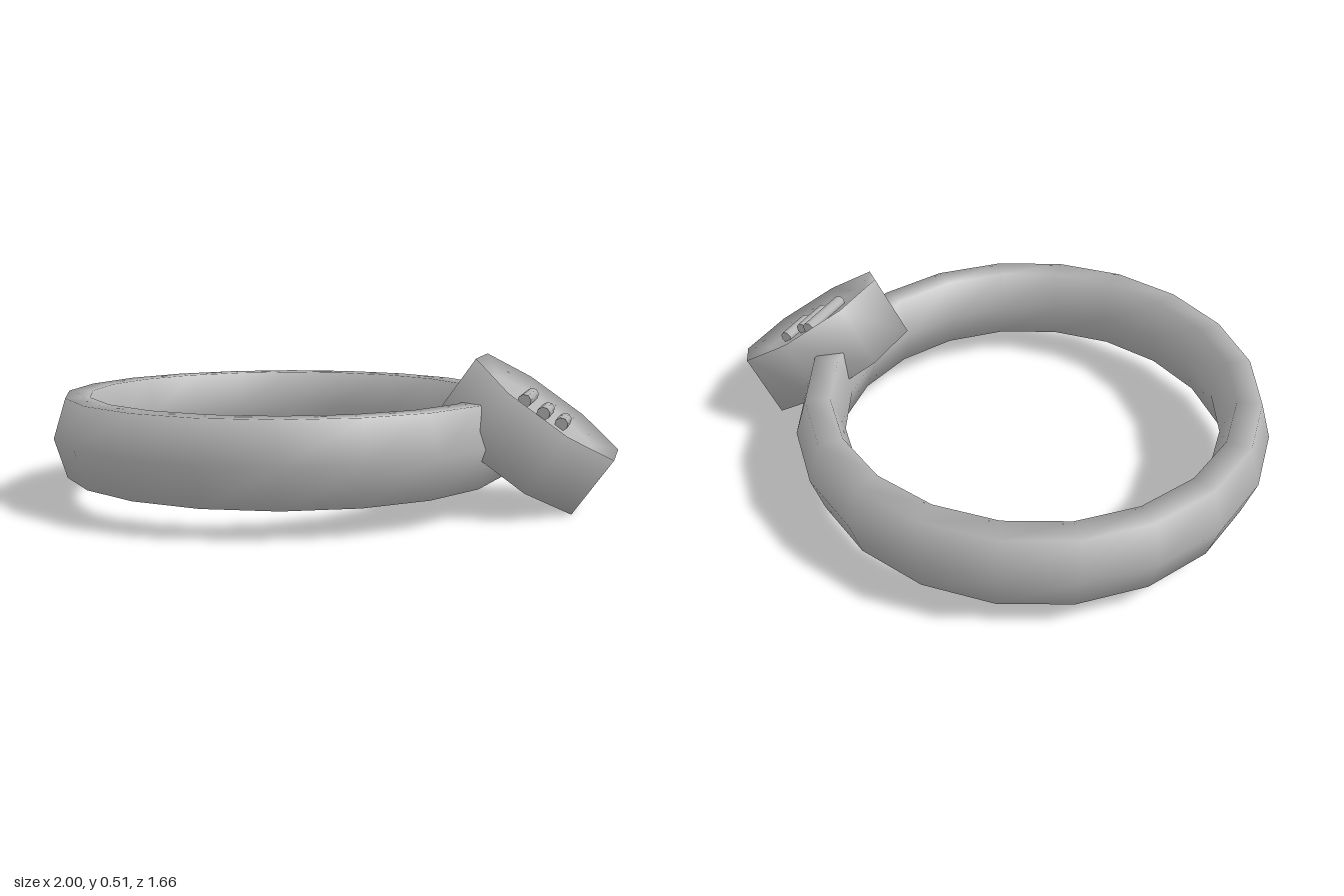
import * as THREE from 'three';

export function createModel() {
  const model = new THREE.Group();
  const metal = new THREE.MeshStandardMaterial({ color: 0xb4b4b4 });
  metal.name = 'grey metal';

  const add = (parent, name, geometry) => {
    const mesh = new THREE.Mesh(geometry, metal);
    mesh.name = name;
    parent.add(mesh);
    return mesh;
  };

  // Band: hexagonal section, stretched to be taller than it is thick
  const band = new THREE.TorusGeometry(0.745, 0.085, 6, 20);
  band.rotateX(Math.PI / 2);
  band.scale(1, 1.87, 1);
  add(model, 'band', band).position.set(-0.17, 0.232, 0);

  // Head: tilted octagonal block with a shallow dished face
  const head = new THREE.Group();
  head.name = 'head';
  head.position.set(0.705, 0.257, 0);
  head.rotation.z = -THREE.MathUtils.degToRad(35);
  model.add(head);

  const profile = [
    [0, -0.115], [0.303, -0.115], [0.303, 0.115], [0.215, 0.08], [0, 0.08],
  ].map(([r, y]) => new THREE.Vector2(r, y));
  add(head, 'headBlock', new THREE.LatheGeometry(profile, 8, Math.PI / 8));

  // Raised bars in the dish: x, y, centre z, length
  [
    [-0.068, 0.094, 0, 0.21],
    [0.006, 0.093, 0.005, 0.147],
    [0.074, 0.093, -0.03, 0.135],
  ].forEach(([x, y, z, length], i) => {
    const bar = new THREE.CylinderGeometry(0.023, 0.023, length, 8);
    bar.rotateX(Math.PI / 2);
    add(head, `faceBar${i + 1}`, bar).position.set(x, y, z);
  });

  return model;
}
